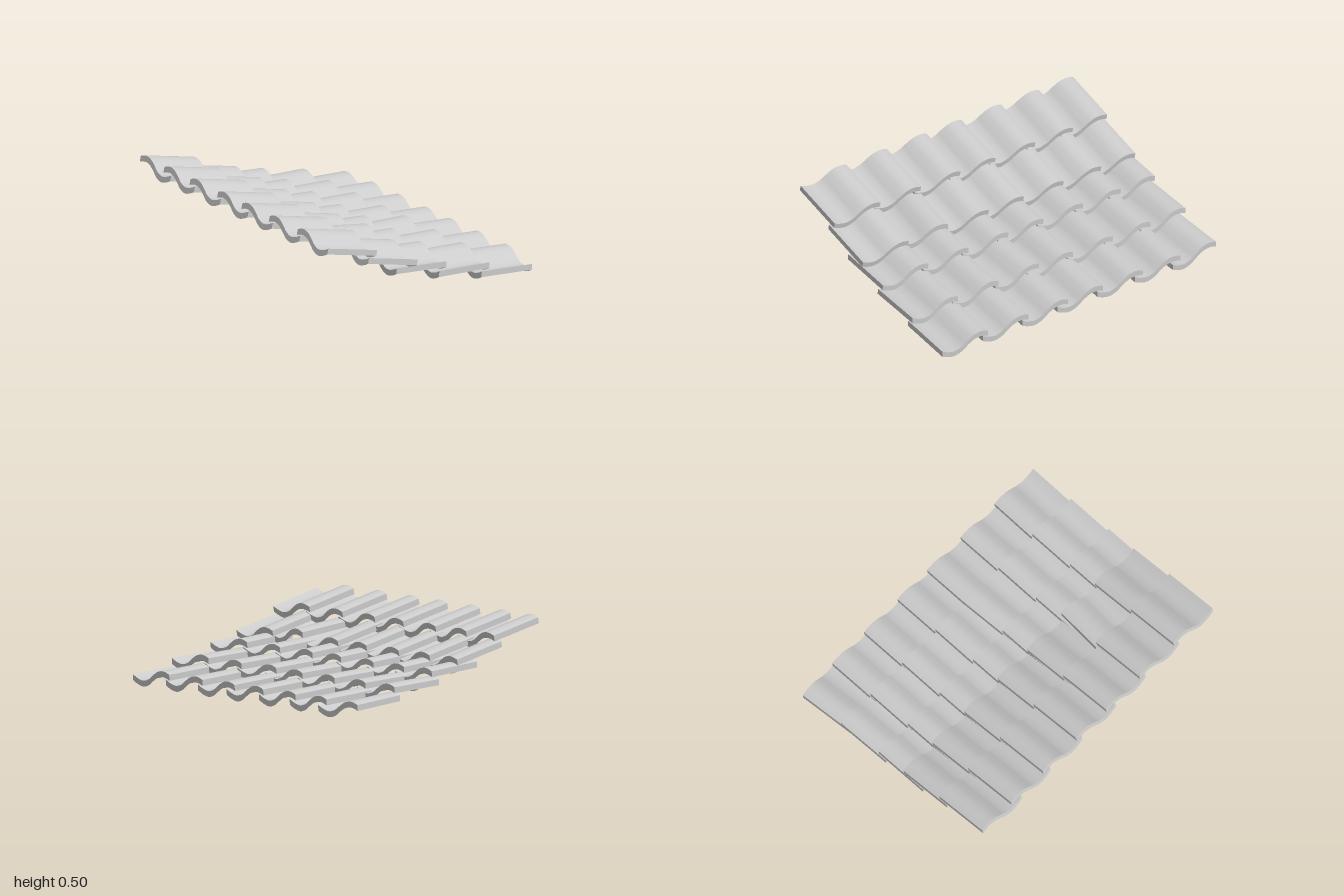
import * as THREE from 'three';
import { mergeGeometries } from 'three/addons/utils/BufferGeometryUtils.js';

const LENGTH = 0.362, WIDTH = 0.328, RIM = 0.036;

// Ribbon between two equal rows of points
function strip(a, b) {
  const geo = new THREE.BufferGeometry();
  const n = a.length, index = [];
  for (let i = 0; i < n - 1; i++) {
    index.push(i, n + i, i + 1, n + i, n + i + 1, i + 1);
  }
  geo.setAttribute('position', new THREE.Float32BufferAttribute(
    [...a, ...b].flatMap((p) => [p.x, p.y, p.z]), 3));
  geo.setIndex(index);
  geo.computeVertexNormals();
  return geo;
}

// S-shaped tile: curved top sheet with a rim on all four sides, open below
function tileGeometry() {
  const wave = new THREE.SplineCurve([
    [0, 0.03], [0.04, 0.011], [0.09, 0], [0.14, 0.014], [0.18, 0.042],
    [0.22, 0.066], [0.26, 0.076], [0.295, 0.073], [WIDTH, 0.061],
  ].map(([d, y]) => new THREE.Vector2(d, y))).getPoints(32);
  const row = (x, drop) => wave.map((p) => new THREE.Vector3(x, p.y - drop, WIDTH / 2 - p.x));
  const h = LENGTH / 2;
  const upper = row(-h, 0), lower = row(h, 0);
  const upperRim = row(-h, RIM), lowerRim = row(h, RIM);
  const last = wave.length - 1;
  return mergeGeometries([
    strip(upper, lower),
    strip(lower, lowerRim),
    strip(upperRim, upper),
    strip([upper[0], lower[0]], [upperRim[0], lowerRim[0]]),
    strip([upperRim[last], lowerRim[last]], [upper[last], lower[last]]),
  ]);
}

export function createModel() {
  const model = new THREE.Group();
  model.name = 'tiledRoof';
  const material = new THREE.MeshStandardMaterial({ color: 0xcccccc, side: THREE.DoubleSide });
  const geometry = tileGeometry();

  // Courses from ridge to eave: centre x, trough height, slope in degrees
  const courses = [
    [-0.566, 0.389, 12.2],
    [-0.272, 0.273, 12.2],
    [-0.065, 0.195, 3.9],
    [0.245, 0.123, 2.1],
    [0.556, 0.057, 3.3],
  ];
  // Back edge of each column
  const edges = [0.66, 0.367, 0.08, -0.174, -0.462, -0.735, -0.982];

  // Slipped tiles, keyed by course and column
  const slipped = {
    '1,1': { yaw: -0.08, slope: 6.6, y: 0.002, z: 0 },
    '3,2': { yaw: 0.045, slope: 2.1, y: 0.004, z: -0.006 },
    '3,6': { yaw: 0.025, slope: 2.1, y: 0, z: -0.004 },
    '4,0': { yaw: -0.012, slope: 3.3, y: 0, z: -0.002 },
    '4,6': { yaw: 0.07, slope: 3.6, y: -0.006, z: -0.006 },
  };

  courses.forEach(([x, y, slope], r) => {
    const course = new THREE.Group();
    course.name = `tileCourse${r + 1}`;
    edges.forEach((edge, c) => {
      const slip = slipped[`${r},${c}`] ?? { yaw: 0, slope, y: 0, z: 0 };
      const tile = new THREE.Mesh(geometry, material);
      tile.name = `roofTile${r + 1}_${c + 1}`;
      tile.position.set(x, y + slip.y, edge + WIDTH / 2 + slip.z);
      tile.rotation.set(0, slip.yaw, -THREE.MathUtils.degToRad(slip.slope));
      course.add(tile);
    });
    model.add(course);
  });
  return model;
}
